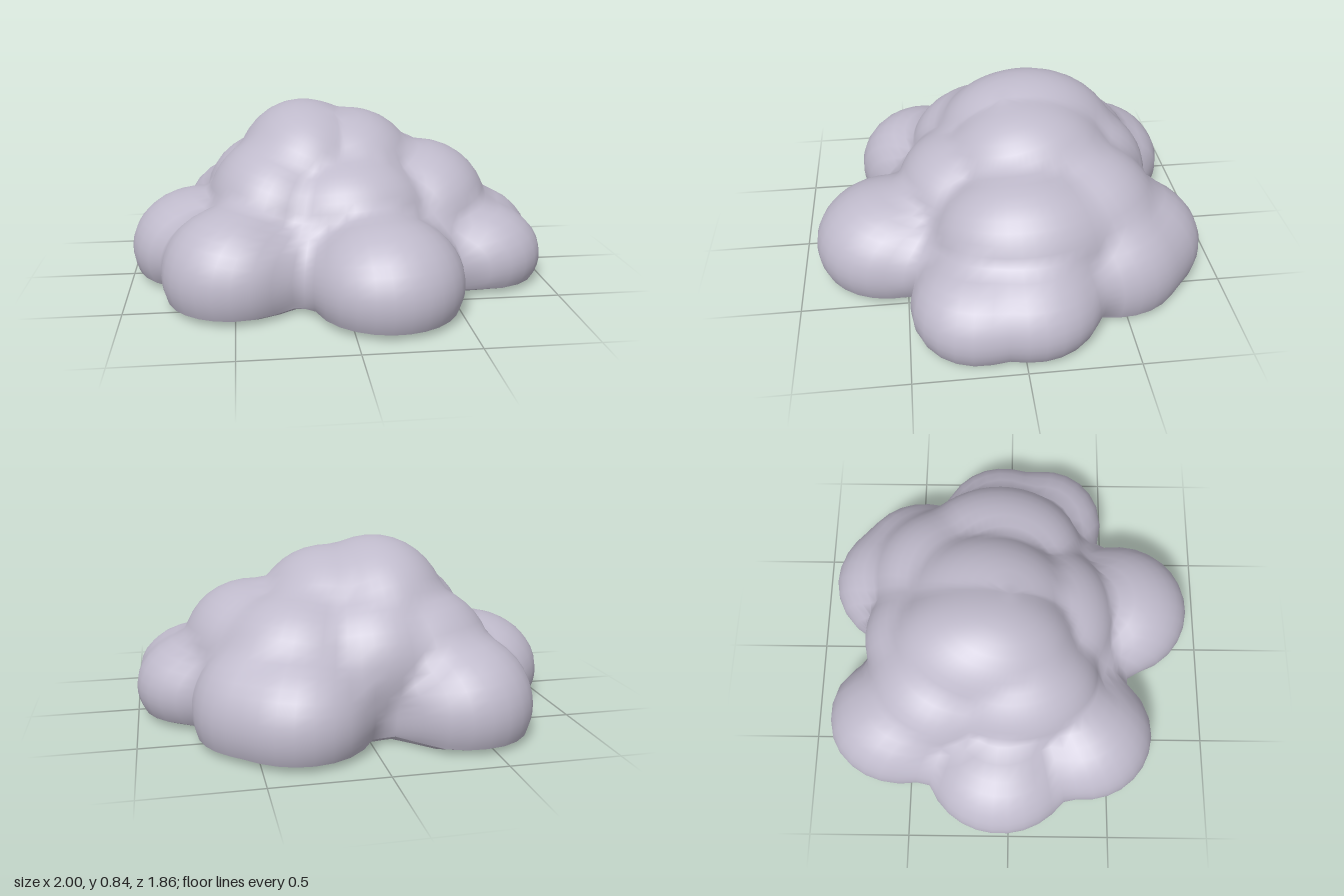
import * as THREE from 'three';
import { mergeVertices } from 'three/addons/utils/BufferGeometryUtils.js';

// Puffs of the cloud: centre x, y, z, then radii x, y, z
const PUFFS = [
  [0, 0.12, -0.03, 0.83, 0.4, 0.66],        // core
  [-0.14, 0.5, -0.13, 0.33, 0.335, 0.44],   // crown
  [0.09, 0.48, -0.11, 0.33, 0.31, 0.4],
  [-0.3, 0.36, 0.03, 0.32, 0.32, 0.41],     // shoulders
  [0.44, 0.33, -0.06, 0.33, 0.3, 0.42],
  [-0.28, 0.32, -0.34, 0.35, 0.31, 0.36],
  [-0.06, 0.32, -0.37, 0.34, 0.33, 0.36],
  [0.27, 0.32, -0.36, 0.36, 0.31, 0.35],
  [0.06, 0.35, 0.21, 0.36, 0.27, 0.31],
  [-0.66, 0.14, -0.04, 0.34, 0.28, 0.37],   // outer ring of lobes
  [0.68, 0.14, -0.05, 0.32, 0.25, 0.33],
  [0.68, 0.13, 0.19, 0.31, 0.24, 0.3],
  [-0.5, 0.14, 0.38, 0.33, 0.3, 0.34],
  [0.17, 0.14, 0.57, 0.35, 0.29, 0.36],
  [-0.46, 0.14, -0.54, 0.3, 0.3, 0.36],
  [-0.38, 0.14, -0.56, 0.27, 0.29, 0.34],
  [0.31, 0.14, -0.54, 0.35, 0.31, 0.39],
  [0.47, 0.14, -0.47, 0.29, 0.3, 0.33],
];
const BASE = 0.03, SEGMENTS = 80, ROWS = 26;

// Distance along a ray from the base centre to the far side of one puff
function farHit(dir, [cx, cy, cz, rx, ry, rz]) {
  const d = new THREE.Vector3(dir.x / rx, dir.y / ry, dir.z / rz);
  const o = new THREE.Vector3(-cx / rx, (BASE - cy) / ry, -cz / rz);
  const a = d.dot(d), b = d.dot(o), c = o.dot(o) - 1;
  const q = b * b - a * c;
  return q < 0 ? 0 : Math.max(0, (-b + Math.sqrt(q)) / a);
}

// Outer skin of all puffs, blended softly where they meet
function skin(angle, elevation) {
  const dir = new THREE.Vector3(
    Math.cos(angle) * Math.cos(elevation), Math.sin(elevation), Math.sin(angle) * Math.cos(elevation));
  const hits = PUFFS.map((p) => farHit(dir, p));
  const most = Math.max(...hits), k = 0.025;
  const r = most + k * Math.log(hits.reduce((s, h) => s + Math.exp((h - most) / k), 0)) * 0.6;
  return dir.multiplyScalar(r).add(new THREE.Vector3(0, BASE, 0));
}

// Skin a list of rings; each ring is a function of the angle
function loft(rings) {
  const pos = [], index = [];
  rings.forEach((ring) => {
    for (let j = 0; j < SEGMENTS; j++) pos.push(...ring((j / SEGMENTS) * Math.PI * 2).toArray());
  });
  for (let i = 0; i < rings.length - 1; i++) {
    for (let j = 0; j < SEGMENTS; j++) {
      const n = (j + 1) % SEGMENTS;
      const a = i * SEGMENTS + j, b = i * SEGMENTS + n, c = a + SEGMENTS, d = b + SEGMENTS;
      index.push(a, c, b, b, c, d);
    }
  }
  const g = new THREE.BufferGeometry();
  g.setAttribute('position', new THREE.Float32BufferAttribute(pos, 3));
  g.setIndex(index);
  const merged = mergeVertices(g, 1e-5);
  merged.computeVertexNormals();
  return merged;
}

export function createModel() {
  const group = new THREE.Group();
  group.name = 'cloud';
  const cloudGrey = new THREE.MeshStandardMaterial({ color: 0xbfbacb });
  cloudGrey.name = 'cloudGrey';
  const add = (name, rings) => {
    const mesh = new THREE.Mesh(loft(rings), cloudGrey);
    mesh.name = name;
    group.add(mesh);
  };

  // Puffy body, rows packed closer near the base
  const body = [];
  for (let i = 0; i <= ROWS; i++) {
    const e = (Math.PI / 2) * Math.pow(i / ROWS, 1.35);
    body.push((t) => skin(t, e));
  }
  add('puffyBody', body);

  // Ragged opening in the base, a little behind the middle
  const opening = (t) => 0.42 + 0.03 * Math.cos(5 * t + 0.6) + 0.02 * Math.cos(8 * t);
  const hole = (t, scale, y) => new THREE.Vector3(
    0.03 + Math.cos(t) * opening(t) * scale, y, -0.06 + Math.sin(t) * opening(t) * scale);

  // Flat underside, curving gently up to the rim
  const under = (mix, y) => (t) => {
    const p = hole(t, 1, 0).lerp(skin(t, 0), mix);
    p.y = y;
    return p;
  };
  add('underside', [under(0, 0.025), under(0.35, 0.008), under(0.65, 0), under(0.88, 0.012), under(1, BASE)]);

  // Hollow inside the opening
  const hollow = [];
  for (let i = 0; i <= 8; i++) {
    const a = (i / 8) * (Math.PI / 2);
    hollow.push((t) => hole(t, Math.sin(a), 0.025 + 0.3 * Math.cos(a)));
  }
  add('hollow', hollow);

  return group;
}
